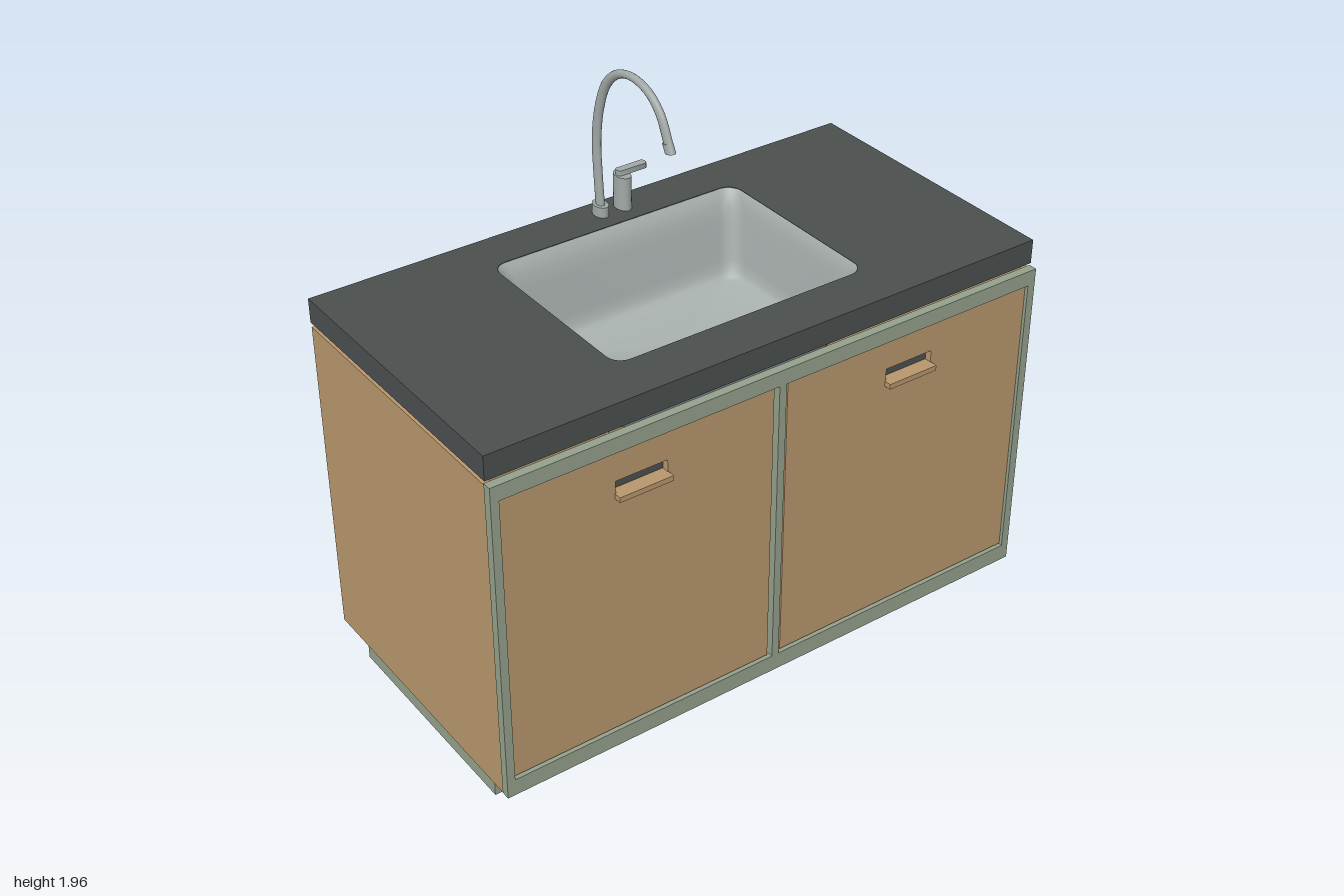
import * as THREE from 'three';
import { toCreasedNormals } from 'three/addons/utils/BufferGeometryUtils.js';

const mat = (color) => new THREE.MeshStandardMaterial({ color });
const wood = mat(0xb8966c), green = mat(0x94a08c), stone = mat(0x4a4f4e), steel = mat(0xa0a8a6);
const basinSteel = mat(0xa8b0ae);
basinSteel.side = THREE.DoubleSide;

function add(parent, name, geometry, material, x = 0, y = 0, z = 0) {
  const mesh = new THREE.Mesh(geometry, material);
  mesh.name = name;
  mesh.position.set(x, y, z);
  parent.add(mesh);
  return mesh;
}

// Box given by its lower and upper limits on each axis
function box(parent, name, material, [x0, x1], [y0, y1], [z0, z1]) {
  return add(parent, name, new THREE.BoxGeometry(x1 - x0, y1 - y0, z1 - z0), material,
    (x0 + x1) / 2, (y0 + y1) / 2, (z0 + z1) / 2);
}

const rect = (x0, x1, y0, y1) => [[x0, y0], [x1, y0], [x1, y1], [x0, y1]].map(p => new THREE.Vector2(...p));

// Points of a rounded rectangle around the origin
function roundedRect(hx, hz, r, steps = 8) {
  const points = [];
  [[1, 1], [-1, 1], [-1, -1], [1, -1]].forEach(([sx, sz], q) => {
    for (let i = 0; i <= steps; i++) {
      const a = (q + i / steps) * Math.PI / 2;
      points.push(new THREE.Vector2(sx * (hx - r) + r * Math.cos(a), sz * (hz - r) + r * Math.sin(a)));
    }
  });
  return points;
}

// Flat panel with rectangular or rounded holes
function panel(outline, holes, depth) {
  const shape = new THREE.Shape(outline);
  shape.holes = holes.map(h => new THREE.Path(h));
  return new THREE.ExtrudeGeometry(shape, { depth, bevelEnabled: false });
}

// Bowl lofted through rounded rectangles [half x, half z, corner radius, y]
function bowl(sections) {
  const pos = [], index = [];
  let n = 0;
  sections.forEach(([hx, hz, r, y]) => {
    const ring = roundedRect(hx, hz, r);
    n = ring.length;
    ring.forEach(p => pos.push(p.x, y, p.y));
  });
  for (let s = 0; s < sections.length - 1; s++) {
    for (let i = 0; i < n; i++) {
      const a = s * n + i, b = s * n + (i + 1) % n;
      index.push(a, b, a + n, b, b + n, a + n);
    }
  }
  // Flat floor closing the last ring
  const last = (sections.length - 1) * n, centre = pos.length / 3;
  pos.push(0, sections[sections.length - 1][3], 0);
  for (let i = 0; i < n; i++) index.push(last + i, last + (i + 1) % n, centre);
  const g = new THREE.BufferGeometry();
  g.setAttribute('position', new THREE.Float32BufferAttribute(pos, 3));
  g.setIndex(index);
  return toCreasedNormals(g, 0.7);
}

export function createModel() {
  const model = new THREE.Group();
  model.name = 'sinkCabinet';

  // Plinth and carcass
  box(model, 'plinth', green, [-0.94, 0.94], [0, 0.165], [-0.48, 0.32]);
  const carcass = new THREE.Group();
  carcass.name = 'carcass';
  model.add(carcass);
  for (const s of [-1, 1]) {
    box(carcass, s > 0 ? 'leftSide' : 'rightSide', wood,
      s > 0 ? [0.975, 0.998] : [-0.998, -0.975], [0.162, 1.295], [-0.52, 0.475]);
  }
  box(carcass, 'backPanel', wood, [-0.975, 0.975], [0.162, 1.295], [-0.514, -0.49]);
  box(carcass, 'bottomPanel', wood, [-0.975, 0.975], [0.165, 0.19], [-0.49, 0.47]);

  // Face frame with two door openings
  add(model, 'faceFrame', panel(rect(-1, 1, 0.165, 1.303),
    [rect(-0.972, -0.013, 0.225, 1.25), rect(0.013, 0.972, 0.225, 1.25)], 0.03), green, 0, 0, 0.475);

  // Doors with recessed pulls
  for (const s of [-1, 1]) {
    const door = new THREE.Group();
    door.name = s > 0 ? 'leftDoor' : 'rightDoor';
    door.position.x = s * 0.4975;
    model.add(door);
    add(door, 'doorPanel', panel(rect(-0.4725, 0.4725, 0.23, 1.246),
      [rect(-0.09, 0.09, 1.105, 1.147)], 0.025), wood, 0, 0, 0.47);
    box(door, 'pullRecess', stone, [-0.1, 0.1], [1.09, 1.16], [0.455, 0.471]);
    box(door, 'pullLip', wood, [-0.093, 0.093], [1.087, 1.105], [0.475, 0.52]);
  }

  // Worktop with rounded cut-out
  const hole = roundedRect(0.457, 0.338, 0.05).map(p => new THREE.Vector2(p.x, p.y + 0.025));
  const top = panel(rect(-1, 1, -0.48, 0.52), [hole], 0.083);
  top.rotateX(-Math.PI / 2);
  add(model, 'worktop', top, stone, 0, 1.312, 0);

  // Basin
  add(model, 'basin', bowl([
    [0.457, 0.338, 0.05, 1.393], [0.449, 0.325, 0.052, 1.375], [0.444, 0.312, 0.055, 1.34],
    [0.439, 0.302, 0.055, 1.3], [0.428, 0.285, 0.055, 1.16], [0.424, 0.277, 0.055, 1.125],
    [0.415, 0.266, 0.053, 1.107], [0.402, 0.252, 0.05, 1.1],
  ]), basinSteel, 0, 0, -0.025);

  // Tap, slightly elongated front to back
  const tap = new THREE.Group();
  tap.name = 'tap';
  tap.position.z = -0.447;
  tap.scale.z = 1.5;
  model.add(tap);
  const cyl = (r0, r1, h) => new THREE.CylinderGeometry(r0, r1, h, 24);
  add(tap, 'tapBase', cyl(0.023, 0.023, 0.037), steel, 0, 1.4125, 0);
  add(tap, 'supplyPipe', cyl(0.009, 0.009, 0.85), steel, 0, 0.975, 0);

  const path = [[-0.447, 1.42], [-0.457, 1.55], [-0.46, 1.65], [-0.44, 1.77], [-0.395, 1.87], [-0.33, 1.925],
    [-0.255, 1.943], [-0.175, 1.927], [-0.115, 1.88], [-0.068, 1.79]]
    .map(([z, y]) => new THREE.Vector3(0, y, (z + 0.447) / 1.5));
  const spout = new THREE.CatmullRomCurve3(path);
  add(tap, 'spout', new THREE.TubeGeometry(spout, 60, 0.0125, 16), steel);
  const nozzle = add(tap, 'nozzle', cyl(0.0145, 0.0145, 0.03), steel);
  nozzle.position.copy(spout.getPoint(1));
  nozzle.position.y -= 0.006;
  nozzle.quaternion.setFromUnitVectors(new THREE.Vector3(0, -1, 0), spout.getTangent(1));

  // Lever control beside the spout
  add(tap, 'leverBody', cyl(0.025, 0.025, 0.117), steel, 0.085, 1.4525, 0);
  const lever = panel(roundedRect(0.055, 0.0095, 0.009), [], 0.018);
  lever.rotateX(-Math.PI / 2);
  add(tap, 'lever', toCreasedNormals(lever, 0.6), steel, 0.119, 1.513, 0);

  return model;
}
